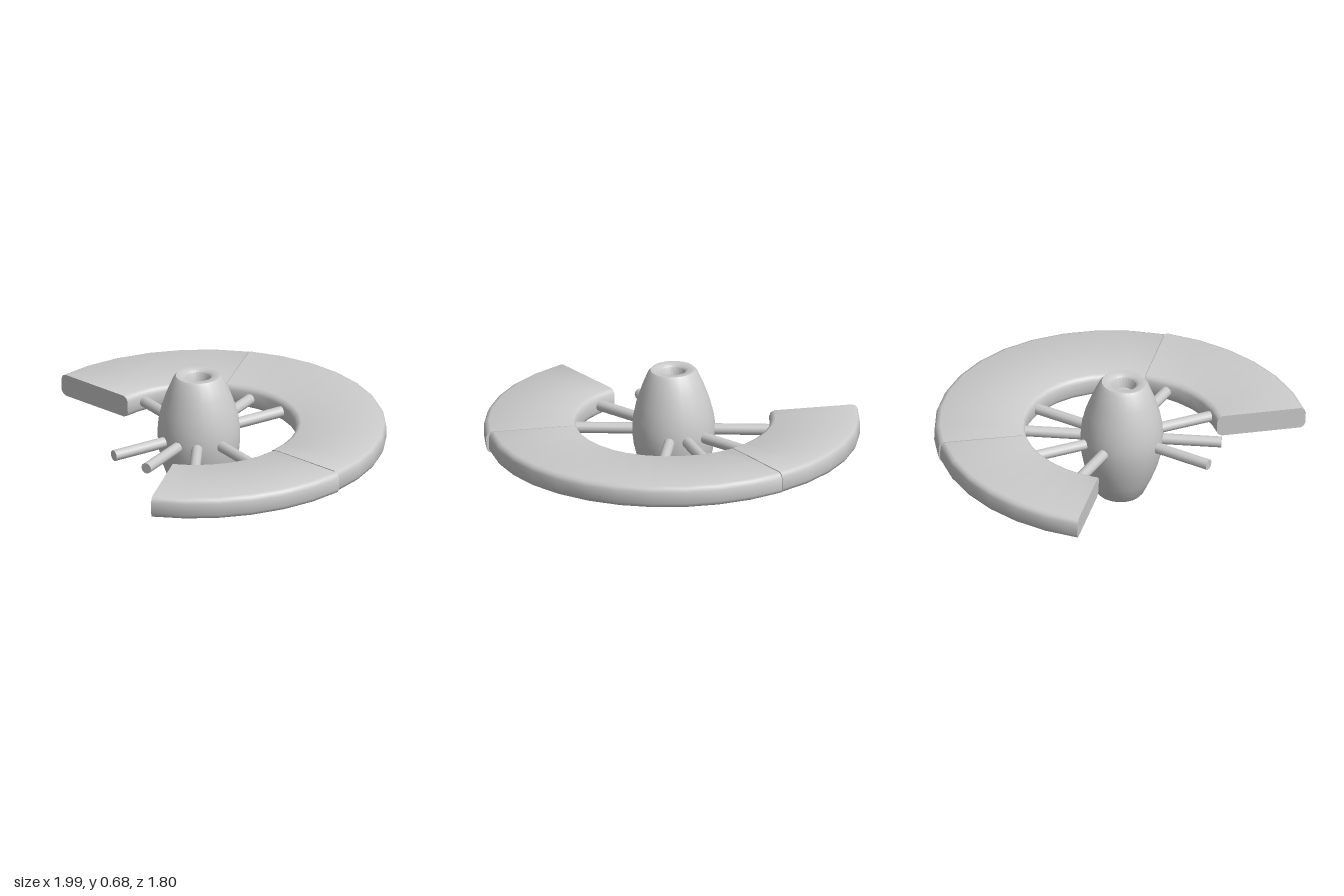
import * as THREE from 'three';
import { toCreasedNormals } from 'three/addons/utils/BufferGeometryUtils.js';

const rad = THREE.MathUtils.degToRad;
const V = (x, y) => new THREE.Vector2(x, y);

export function createModel() {
  const model = new THREE.Group();
  model.name = 'brokenWheel';
  const material = new THREE.MeshStandardMaterial({ color: 0xcccccc });
  const capMaterial = new THREE.MeshStandardMaterial({ color: 0xcccccc, side: THREE.DoubleSide });

  const add = (parent, name, geometry, mat = material) => {
    const mesh = new THREE.Mesh(geometry, mat);
    mesh.name = name;
    parent.add(mesh);
    return mesh;
  };

  // The wheel leans slightly; every part is built around its centre
  const wheel = new THREE.Group();
  wheel.name = 'wheel';
  wheel.position.set(-0.015, 0.343, 0.085);
  wheel.rotation.set(0.031, 0, -0.0175);
  model.add(wheel);

  // Barrel-shaped hub with a blind hole in each end
  const upper = [
    [0.22, 0.02], [0.214, 0.08], [0.196, 0.16], [0.168, 0.24], [0.132, 0.322],
    [0.118, 0.338], [0.082, 0.338], [0.066, 0.325], [0.055, 0.27], [0, 0.27],
  ];
  const profile = [
    ...upper.map(([r, y]) => V(r, -y)).reverse(),
    ...upper.map(([r, y]) => V(r, y)),
  ];
  add(wheel, 'hub', toCreasedNormals(new THREE.LatheGeometry(profile, 24), rad(40)));

  // Eight spokes, in opposite pairs
  const start = 0.17, end = 0.53;
  for (const angle of [4.5, 41.5, 70.5, 97]) {
    for (const turn of [0, 180]) {
      const geometry = new THREE.CylinderGeometry(0.03, 0.03, end - start, 10);
      geometry.rotateZ(-Math.PI / 2).translate((start + end) / 2, 0, 0);
      add(wheel, 'spoke', geometry).rotation.y = -rad(angle + turn);
    }
  }

  // Rim pieces: a bevelled section swept between two angles, closed by end caps
  const rimPiece = (name, from, to, inner, outer) => {
    const group = new THREE.Group();
    group.name = name;
    wheel.add(group);
    const h = 0.06, b = 0.028, c = 0.009;
    const section = [
      V(inner + b, -h), V(outer - b, -h), V(outer - c, -h + c), V(outer, -h + b),
      V(outer, h - b), V(outer - c, h - c), V(outer - b, h), V(inner + b, h),
      V(inner + c, h - c), V(inner, h - b), V(inner, -h + b), V(inner + c, -h + c),
    ];
    const sweep = new THREE.LatheGeometry(
      [...section, section[0]], Math.round((to - from) / 10.5),
      rad(90 - to), rad(to - from));
    add(group, 'rimSweep', toCreasedNormals(sweep, rad(50)));
    for (const angle of [from, to]) {
      const cap = new THREE.ShapeGeometry(new THREE.Shape(section));
      add(group, 'rimEnd', cap, capMaterial).rotation.y = -rad(angle);
    }
  };
  rimPiece('leftRim', -8.8, 53.3, 0.522, 1.006);
  rimPiece('rightRim', 171.3, 234.6, 0.512, 0.987);
  rimPiece('backRim', 235, 350.8, 0.515, 0.993);

  return model;
}
